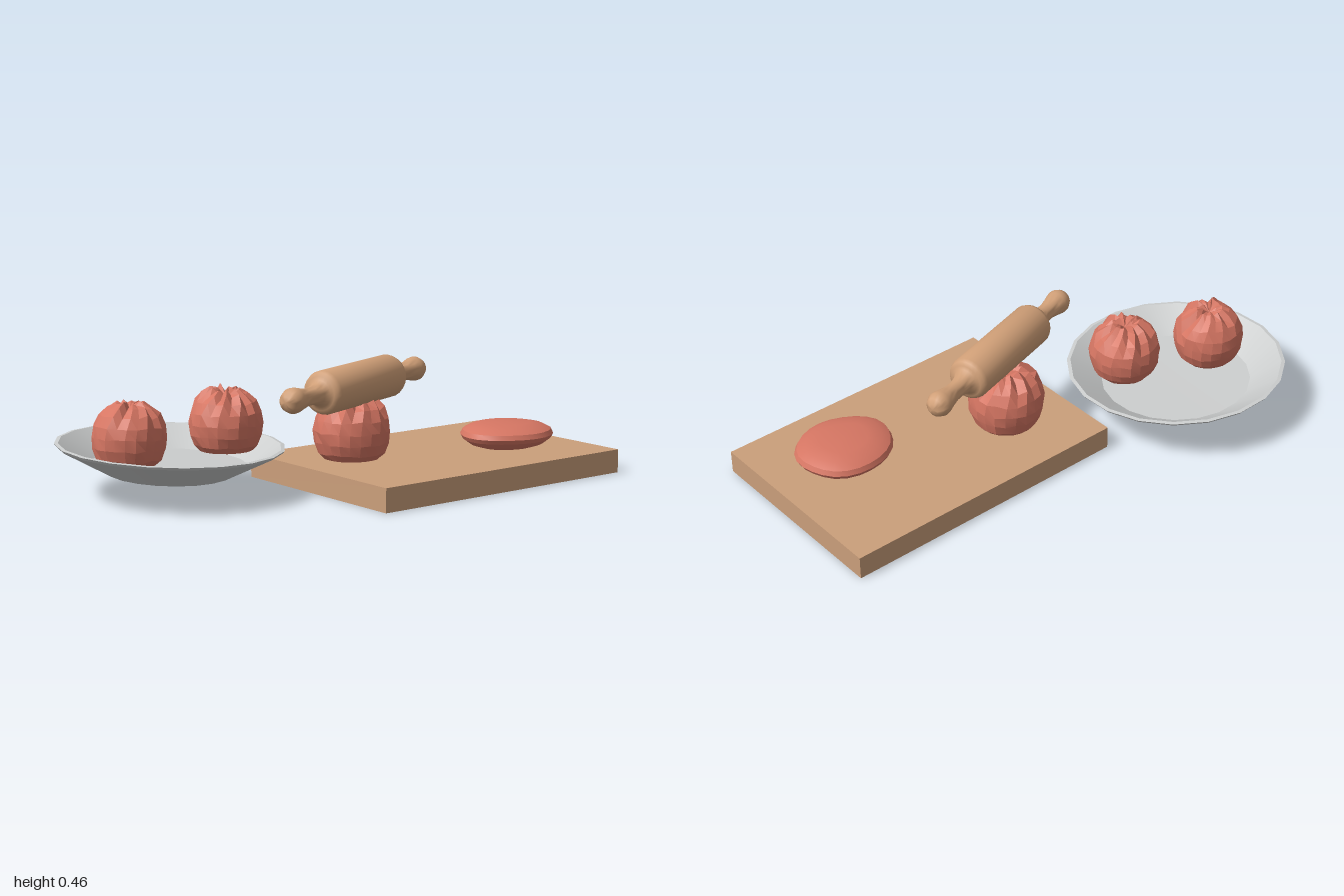
import * as THREE from 'three';
import { toCreasedNormals } from 'three/addons/utils/BufferGeometryUtils.js';

const mat = (name, color) => {
  const m = new THREE.MeshStandardMaterial({ color });
  m.name = name;
  return m;
};

// Repeatable noise in -1..1
const noise = (a, b, seed) => {
  const s = Math.sin(a * 12.99 + b * 78.23 + seed * 37.7) * 43758.55;
  return (s - Math.floor(s)) * 2 - 1;
};

const lathe = (pts, sides, phase = 0) =>
  new THREE.LatheGeometry(pts.map(([r, y]) => new THREE.Vector2(r, y)), sides, phase);

// Round bun with a flat base and irregular pleats gathered at the top
function bunGeometry(seed) {
  const profile = [
    [0, 0], [0.098, 0], [0.118, 0.022], [0.132, 0.06], [0.136, 0.1], [0.129, 0.142],
    [0.108, 0.18], [0.078, 0.207], [0.05, 0.224], [0.026, 0.216], [0, 0.2],
  ];
  const sides = 22, rows = profile.length;
  const g = lathe(profile, sides);
  const p = g.attributes.position;
  for (let i = 0; i < p.count; i++) {
    const row = i % rows, col = Math.floor(i / rows) % sides;
    const x = p.getX(i), z = p.getZ(i);
    const r = Math.hypot(x, z);
    if (r < 1e-5) continue;
    const up = THREE.MathUtils.smoothstep(row, 4, 8);
    const pleat = (col % 2 ? -1 : 1) * 0.5 + noise(col, 3, seed) * 0.5;
    const k = 1 + noise(col, row, seed) * 0.018 + pleat * 0.15 * up;
    const a = Math.atan2(x, z) + up * 0.3;
    const lift = row > 1 ? pleat * 0.013 * up + noise(row, col, seed) * 0.004 : 0;
    p.setXYZ(i, Math.sin(a) * r * k, p.getY(i) + lift, Math.cos(a) * r * k);
  }
  return toCreasedNormals(g, 0.22);
}

// Rolled-out lens of dough with a wavering rim
function flatDoughGeometry() {
  const profile = [
    [0, 0], [0.55, 0.004], [0.8, 0.018], [0.95, 0.038], [1, 0.054],
    [0.95, 0.072], [0.78, 0.088], [0.5, 0.097], [0, 0.1],
  ];
  const g = lathe(profile, 24);
  const p = g.attributes.position;
  for (let i = 0; i < p.count; i++) {
    const x = p.getX(i), z = p.getZ(i);
    const a = Math.atan2(x, z);
    const k = 1 + 0.018 * Math.sin(3 * a + 1) + 0.012 * Math.sin(5 * a);
    p.setXYZ(i, x * k * 0.168, p.getY(i), z * k * 0.19);
  }
  return toCreasedNormals(g, 0.4);
}

export function createModel() {
  const model = new THREE.Group();
  model.name = 'doughMakingSet';
  const boardWood = mat('board wood', 0xcb9f7b);
  const pinWood = mat('rolling pin wood', 0xd1a078);
  const dough = mat('dough', 0xd67663);
  const ceramic = mat('plate ceramic', 0xcccece);

  const add = (name, geometry, material, x, y, z) => {
    const mesh = new THREE.Mesh(geometry, material);
    mesh.name = name;
    mesh.position.set(x, y, z);
    model.add(mesh);
    return mesh;
  };

  // Cutting board
  add('cuttingBoard', new THREE.BoxGeometry(0.803, 0.09, 1.165), boardWood, 0.181, 0.045, -0.4175);

  // Plate, slightly tilted
  const plateProfile = [
    [0, 0], [0.23, 0], [0.415, 0.098], [0.423, 0.108], [0.409, 0.11], [0.29, 0.032], [0, 0.028],
  ];
  const plate = add('plate', toCreasedNormals(lathe(plateProfile, 20, Math.PI / 20), 0.4),
    ceramic, -0.165, 0.077, 0.575);
  plate.rotation.set(-0.025, 0, -0.033);

  // Buns: x, y, z, scale, tilt x, tilt z
  const buns = [
    ['boardBun', 0.07, 0.09, -0.092, 1.07, 0, 0],
    ['plateBunBack', -0.05, 0.16, 0.402, 1, -0.06, 0.05],
    ['plateBunFront', -0.155, 0.132, 0.755, 1, -0.03, -0.03],
  ];
  buns.forEach(([name, x, y, z, s, rx, rz], i) => {
    const bun = add(name, bunGeometry(i + 1), dough, x, y, z);
    bun.scale.setScalar(s);
    bun.rotation.set(rx, i * 1.3, rz);
  });

  // Flattened dough
  add('flatDough', flatDoughGeometry(), dough, 0.272, 0.09, -0.7);

  // Rolling pin: half profile mirrored along its axis
  const half = [
    [0, 0.455], [0.02, 0.451], [0.037, 0.438], [0.047, 0.415], [0.046, 0.395], [0.039, 0.365],
    [0.033, 0.33], [0.033, 0.295], [0.039, 0.262], [0.05, 0.242], [0.063, 0.238],
    [0.076, 0.23], [0.082, 0.215],
  ];
  const pinProfile = [...half.map(([r, y]) => [r, -y]), ...half.slice().reverse()];
  const pin = add('rollingPin', toCreasedNormals(lathe(pinProfile, 24), 0.8),
    pinWood, 0.115, 0.377, -0.077);
  pin.quaternion.setFromUnitVectors(
    new THREE.Vector3(0, 1, 0), new THREE.Vector3(0.3, -0.018, 0.953).normalize());

  return model;
}
